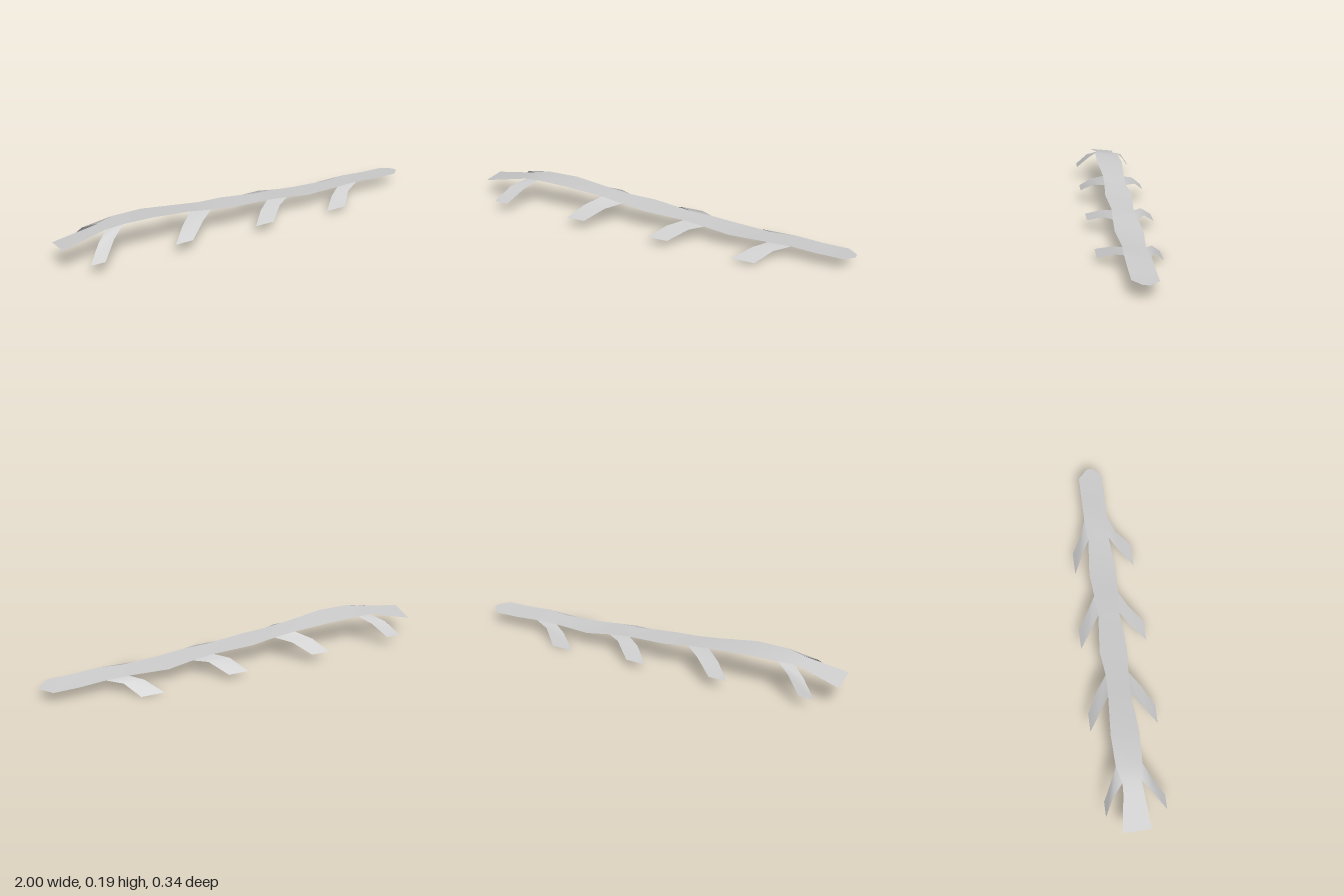
import * as THREE from 'three';

const grey = new THREE.MeshStandardMaterial({ color: 0xcccccc, side: THREE.DoubleSide });
grey.name = 'pale grey';

// Sheet lofted through pairs of edge points; normals follow the given winding
function ribbon(name, pairs, flip) {
  const pos = pairs.flat(2);
  const index = [];
  for (let i = 0; i < pairs.length - 1; i++) {
    const a = 2 * i, b = a + 1, c = a + 2, d = a + 3;
    if (flip) index.push(a, c, b, b, c, d);
    else index.push(a, b, c, b, d, c);
  }
  const g = new THREE.BufferGeometry();
  g.setAttribute('position', new THREE.Float32BufferAttribute(pos, 3));
  g.setIndex(index);
  g.computeVertexNormals();
  const mesh = new THREE.Mesh(g, grey);
  mesh.name = name;
  return mesh;
}

// Stem stations: x, height, back z, front z, sideways tilt
const stem = [
  [-1, 0.125, -0.08, 0.06, 0.12],
  [-0.82, 0.163, -0.055, 0.045, 0.09],
  [-0.77, 0.173, -0.053, 0.04, 0.08],
  [-0.69, 0.185, -0.075, 0.055, 0.08],
  [-0.53, 0.183, -0.08, 0.06, 0.08],
  [-0.325, 0.16, -0.067, 0.046, 0.06],
  [-0.21, 0.145, -0.065, 0.05, 0.03],
  [-0.08, 0.132, -0.08, 0.06, 0.02],
  [0.125, 0.116, -0.062, 0.047, 0.04],
  [0.24, 0.107, -0.07, 0.056, 0.05],
  [0.37, 0.09, -0.08, 0.06, 0.06],
  [0.57, 0.086, -0.062, 0.047, 0.06],
  [0.69, 0.09, -0.07, 0.054, 0.08],
  [0.82, 0.08, -0.07, 0.054, 0.09],
  [0.95, 0.077, -0.07, 0.054, 0.09],
  [1, 0.077, -0.022, 0.01, 0.08],
];
const edge = ([x, y, back, front, tilt], side) => {
  const z = side > 0 ? front : back;
  return [x, y + tilt * (z + 0.01), z];
};

// Leaflets: stem stations at the base, then x pair, and [z, y] per side, for bend and tip
const leaflets = [
  { base: [2, 3], bendX: [-0.835, -0.755], tipX: [-0.905, -0.83],
    front: [[0.092, 0.145], [0.15, 0.07]], back: [[-0.108, 0.14], [-0.15, 0.066]] },
  { base: [5, 6], bendX: [-0.4, -0.285], tipX: [-0.47, -0.375],
    front: [[0.105, 0.128], [0.165, 0.07]], back: [[-0.12, 0.126], [-0.175, 0.064]] },
  { base: [8, 9], bendX: [0.055, 0.17], tipX: [-0.02, 0.085],
    front: [[0.095, 0.098], [0.17, 0.056]], back: [[-0.108, 0.1], [-0.17, 0.04]] },
  { base: [11, 12], bendX: [0.505, 0.61], tipX: [0.42, 0.54],
    front: [[0.088, 0.07], [0.163, 0.028]], back: [[-0.1, 0.066], [-0.152, 0.003]] },
];

export function createModel() {
  const group = new THREE.Group();
  group.name = 'frond';
  group.add(ribbon('stem', stem.map((s) => [edge(s, -1), edge(s, 1)])));

  leaflets.forEach((leaf, i) => {
    for (const [label, side] of [['front', 1], ['back', -1]]) {
      const [bend, tip] = leaf[label];
      const rows = [
        leaf.base.map((k) => edge(stem[k], side)),
        leaf.bendX.map((x) => [x, bend[1], bend[0]]),
        leaf.tipX.map((x) => [x, tip[1], tip[0]]),
      ];
      group.add(ribbon(`${label}Leaflet${i + 1}`, rows, side > 0));
    }
  });
  return group;
}
